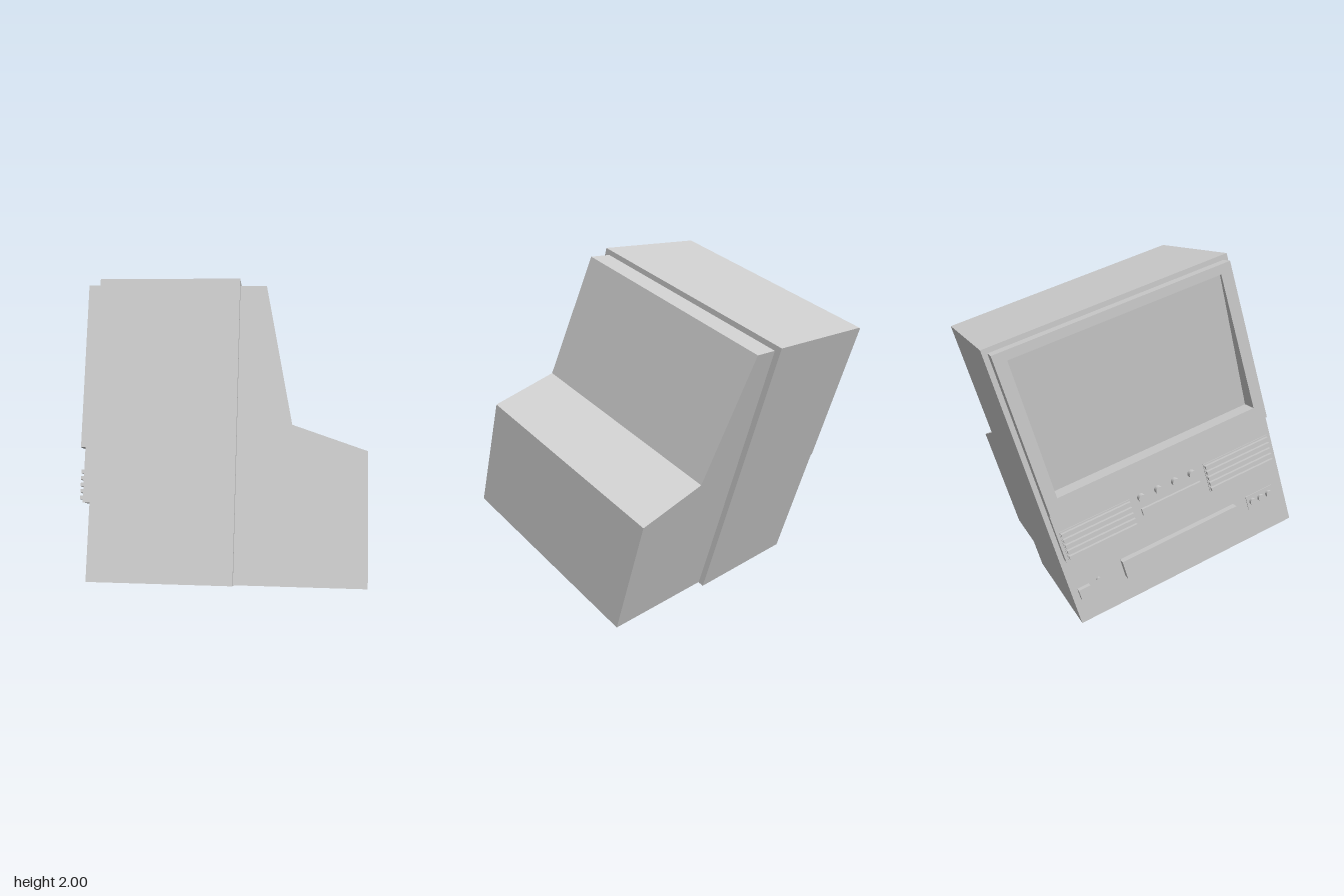
import * as THREE from 'three';

const mat = new THREE.MeshStandardMaterial({ color: 0xcccccc, flatShading: true });
const smooth = new THREE.MeshStandardMaterial({ color: 0xcccccc });

function add(parent, name, geo, material = mat) {
  const m = new THREE.Mesh(geo, material);
  m.name = name;
  parent.add(m);
  return m;
}

// Box from its limits on each axis
function box(parent, name, [x0, x1], [y0, y1], [z0, z1]) {
  const m = add(parent, name, new THREE.BoxGeometry(x1 - x0, y1 - y0, z1 - z0));
  m.position.set((x0 + x1) / 2, (y0 + y1) / 2, (z0 + z1) / 2);
  return m;
}

function rect(T, y0, y1, w) {
  const p = new T();
  p.moveTo(-w, y0);
  p.lineTo(w, y0);
  p.lineTo(w, y1);
  p.lineTo(-w, y1);
  p.closePath();
  return p;
}

// Rectangular frame with the screen opening, running along x
function ring(parent, name, x0, x1, y0, y1, w) {
  const s = rect(THREE.Shape, y0, y1, w);
  s.holes.push(rect(THREE.Path, -0.025, 0.75, 0.6));
  const g = new THREE.ExtrudeGeometry(s, { depth: x1 - x0, bevelEnabled: false });
  g.rotateY(Math.PI / 2).translate(x0, 0, 0);
  return add(parent, name, g);
}

// Side profile (x, y) extruded across the width
function profile(parent, name, pts, w) {
  const s = new THREE.Shape(pts.map(p => new THREE.Vector2(...p)));
  const g = new THREE.ExtrudeGeometry(s, { depth: 2 * w, bevelEnabled: false });
  return add(parent, name, g.translate(0, 0, -w));
}

// Round knob pointing out of the panel (-x)
function knob(parent, name, x0, x1, y, z, r) {
  const g = new THREE.CylinderGeometry(r, r, x1 - x0, 16).rotateZ(Math.PI / 2);
  const m = add(parent, name, g, smooth);
  m.position.set((x0 + x1) / 2, y, z);
}

export function createModel() {
  const root = new THREE.Group();
  root.name = 'television';
  const tv = new THREE.Group();
  tv.name = 'tiltedSet';
  tv.rotation.x = -0.3105;
  tv.position.y = 1;
  root.add(tv);

  // Cabinet, rear housing and picture tube
  ring(tv, 'cabinet', -0.7, 0.075, -0.827, 0.827, 0.695);
  profile(tv, 'rearHousing', [
    [0.07, -0.823], [0.77, -0.823], [0.77, -0.107], [0.37, 0.029], [0.22, 0.796], [0.07, 0.796],
  ], 0.66);
  ring(tv, 'screenFrame', -0.77, -0.7, -0.11, 0.8, 0.667);
  profile(tv, 'screen', [[-0.6, -0.025], [-0.6, 0.75], [-0.755, 0.75], [-0.68, -0.025]], 0.6);

  // Control strip with two speaker grilles
  box(tv, 'controlStrip', [-0.745, -0.69], [-0.408, -0.11], [-0.667, 0.667]);
  for (const s of [-1, 1]) {
    const g = new THREE.Group();
    g.name = s < 0 ? 'rightGrille' : 'leftGrille';
    g.position.z = s * 0.44;
    tv.add(g);
    box(g, 'grilleBack', [-0.75, -0.74], [-0.398, -0.222], [-0.21, 0.21]);
    for (let i = 0; i < 5; i++) {
      const y = -0.24 - i * 0.035;
      box(g, 'slat', [-0.767, -0.745], [y - 0.01, y + 0.01], [-0.205, 0.205]);
    }
  }

  // Knobs and tuning bar
  for (let i = 0; i < 4; i++) knob(tv, 'knob', -0.773, -0.74, -0.24, -0.165 + i * 0.105, 0.022);
  box(tv, 'tuningBar', [-0.762, -0.74], [-0.345, -0.305], [-0.185, 0.185]);

  // Tape slot, power button, lamp and sockets
  box(tv, 'tapeFlap', [-0.738, -0.69], [-0.678, -0.565], [-0.375, 0.365]);
  box(tv, 'powerButton', [-0.727, -0.69], [-0.675, -0.612], [-0.655, -0.585]);
  knob(tv, 'powerLamp', -0.712, -0.69, -0.615, -0.525, 0.013);
  box(tv, 'socketPlate', [-0.705, -0.69], [-0.645, -0.56], [0.45, 0.63]);
  for (let i = 0; i < 3; i++) knob(tv, 'socket', -0.722, -0.7, -0.602, 0.485 + i * 0.055, 0.02);

  return root;
}
